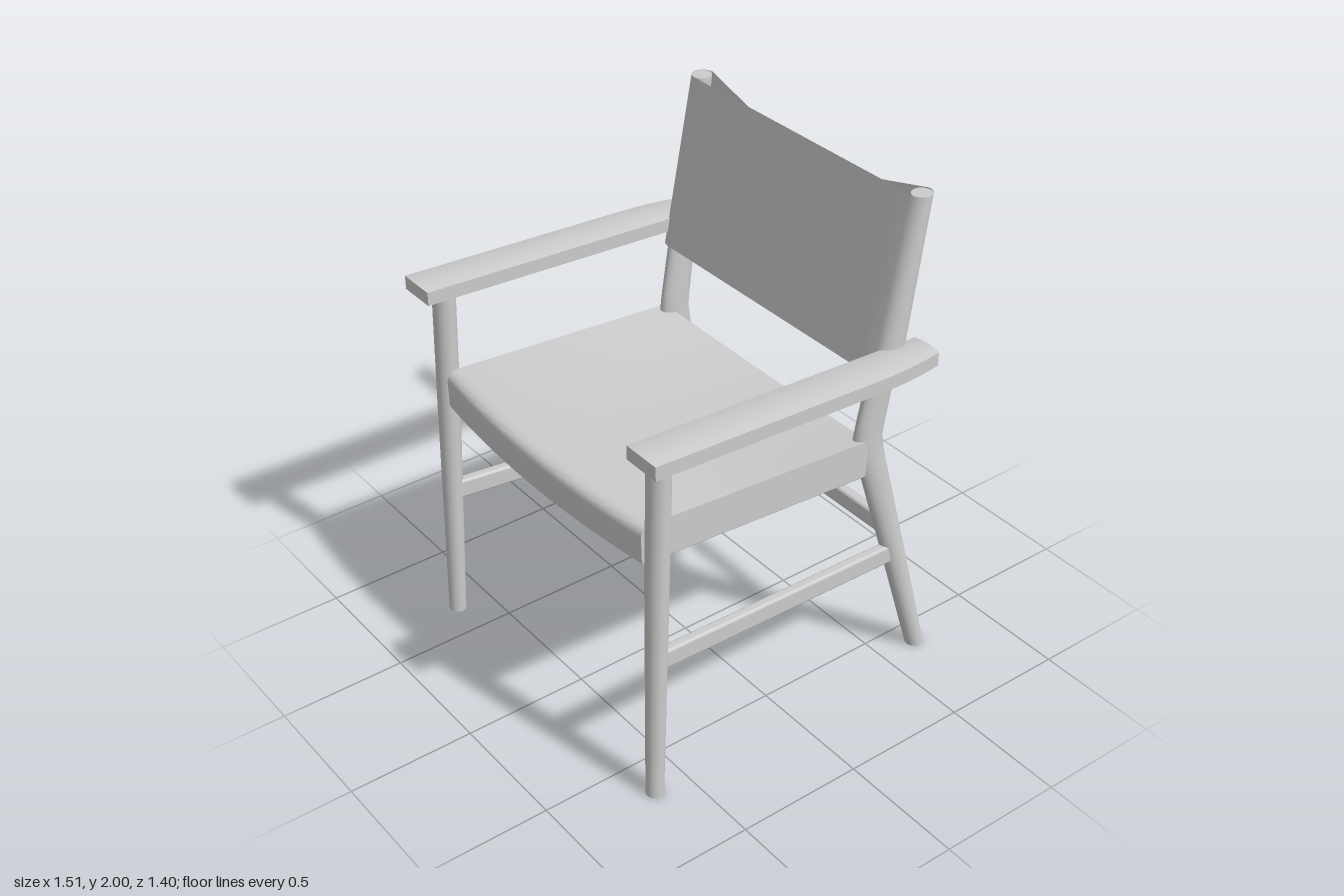
import * as THREE from 'three';
import { toCreasedNormals } from 'three/addons/utils/BufferGeometryUtils.js';
import { RoundedBoxGeometry } from 'three/addons/geometries/RoundedBoxGeometry.js';

const grey = new THREE.MeshStandardMaterial({ color: 0xcccccc });
const greyThin = new THREE.MeshStandardMaterial({ color: 0xcccccc, side: THREE.DoubleSide });

// Move every vertex by a rule, then rebuild normals with sharp edges kept
function deform(geo, rule) {
  const p = geo.attributes.position;
  const v = new THREE.Vector3();
  for (let i = 0; i < p.count; i++) {
    v.fromBufferAttribute(p, i);
    rule(v);
    p.setXYZ(i, v.x, v.y, v.z);
  }
  return toCreasedNormals(geo, 0.6);
}

// Leg through elliptical stations [x, y, z, rx, rz], listed from the top down
function legGeometry(stations) {
  const n = stations.length - 1;
  return deform(new THREE.CylinderGeometry(1, 1, 1, 24, n), v => {
    const [x, y, z, rx, rz] = stations[Math.round((0.5 - v.y) * n)];
    v.set(x + v.x * rx, y, z + v.z * rz);
  });
}

// Softly rounded bar between two points
function bar(a, b, width, height, radius = 0.012) {
  const from = new THREE.Vector3(...a), to = new THREE.Vector3(...b);
  const mesh = new THREE.Mesh(new RoundedBoxGeometry(width, height, from.distanceTo(to), 3, radius), grey);
  mesh.position.copy(from).add(to).multiplyScalar(0.5);
  mesh.lookAt(to);
  return mesh;
}

// Armrest: domed top, bowed front end, outer edge tapering to the back
function armGeometry(side) {
  return deform(new THREE.BoxGeometry(1, 1, 1, 10, 1, 16), v => {
    const t = v.x * 2;
    const z = 0.075 + v.z * 1.24;
    const back = Math.max(0, (-0.25 - z) / 0.295);
    const outer = 0.757 - 0.03 * back * back;
    const x = 0.602 + (v.x + 0.5) * (outer - 0.602);
    const front = Math.max(0, v.z * 2);
    const y = 1.439 + 0.048 * (z - 0.075) + v.y * 0.054 - 0.009 * t * t + 0.004;
    v.set(side * x, y, z + 0.008 * front * (1 - t * t));
    if (side < 0) v.x = -(0.602 + outer) - v.x; // keep winding outward
  });
}

// Seat skin: side profile with rolled front edge, swept across, then bowed and dished
function seatGeometry() {
  const s = new THREE.Shape(); // shape x is z, shape y is y
  s.moveTo(0.64, 0.99);
  s.lineTo(0.642, 1.095);
  s.quadraticCurveTo(0.64, 1.137, 0.585, 1.135);
  const steps = 14;
  for (let i = 1; i <= steps; i++) {
    const z = 0.585 - 0.945 * i / steps;
    s.lineTo(z, 1.135 - 0.069 * (0.585 - z));
  }
  for (let i = steps; i >= 0; i--) {
    const z = 0.605 - 0.965 * i / steps;
    s.lineTo(z, 1.11 - 0.069 * (0.605 - z));
  }
  s.lineTo(0.605, 0.99);
  const geo = new THREE.ExtrudeGeometry(s, { depth: 1.2, steps: 20, bevelEnabled: false, curveSegments: 8 });
  geo.rotateY(-Math.PI / 2).translate(0.6, 0, 0);
  return deform(geo, v => {
    const across = 1 - (v.x / 0.6) ** 2;
    const dish = THREE.MathUtils.smoothstep(0.55 - v.z, 0, 0.8);
    v.y -= 0.04 * across * dish;
    v.z *= 1 + 0.0625 * across;
  });
}

// Back sling: flat front sheet, wrapped round both posts, waisted rear sheet
function slingGeometry() {
  const loop = []; // [x, front-to-back factor]
  const half = 0.59, n = 16;
  for (let i = 0; i <= n; i++) loop.push([half * (2 * i / n - 1), 1]);
  for (let i = 1; i < 12; i++) {
    const a = Math.PI * (0.5 - i / 12);
    loop.push([half + 0.048 * Math.cos(a), Math.sin(a)]);
  }
  for (let i = 0; i <= n; i++) loop.push([half * (1 - 2 * i / n), -1]);
  for (let i = 1; i <= 12; i++) {
    const a = Math.PI * (0.5 - i / 12);
    loop.push([-half - 0.048 * Math.cos(a), -Math.sin(a)]);
  }
  const cols = loop.length - 1;
  return deform(new THREE.PlaneGeometry(1, 1, cols, 6), v => {
    const [x, f] = loop[Math.round((v.x + 0.5) * cols)];
    const waist = f === -1 ? 1 - Math.abs(x) / half : 0;
    const low = 1.335 + 0.14 * waist, high = 2 - 0.15 * waist;
    const y = low + (v.y + 0.5) * (high - low);
    const t = (y - 1.06) / 0.94;
    v.set(x, y, -0.375 - 0.16 * t + f * (0.068 - 0.025 * t));
  });
}

export function createModel() {
  const chair = new THREE.Group();
  chair.name = 'armchair';
  const add = (name, part) => {
    const mesh = part.isMesh ? part : new THREE.Mesh(part, grey);
    mesh.name = name;
    chair.add(mesh);
    return mesh;
  };

  // Mirrored parts
  for (const side of [1, -1]) {
    const label = side > 0 ? 'left' : 'right';
    add(label + 'FrontLeg', legGeometry([
      [side * 0.65, 1.45, 0.602, 0.045, 0.043],
      [side * 0.65, 0.95, 0.615, 0.045, 0.042],
      [side * 0.658, 0, 0.64, 0.035, 0.033],
    ]));
    add(label + 'BackLeg', legGeometry([
      [side * 0.6, 1.998, -0.535, 0.038, 0.039],
      [side * 0.585, 1.5, -0.45, 0.036, 0.054],
      [side * 0.572, 1.14, -0.39, 0.034, 0.064],
      [side * 0.57, 1.06, -0.379, 0.034, 0.065],
      [side * 0.571, 0.98, -0.395, 0.034, 0.062],
      [side * 0.584, 0.5, -0.528, 0.037, 0.049],
      [side * 0.597, 0, -0.665, 0.037, 0.036],
    ]));
    add(label + 'Armrest', armGeometry(side));
    add(label + 'SeatRail', bar([side * 0.582, 1.054, 0.6], [side * 0.582, 0.99, -0.36], 0.036, 0.152, 0.006));
    add(label + 'Stretcher', bar([side * 0.638, 0.582, 0.62], [side * 0.588, 0.505, -0.51], 0.042, 0.08));

    // Triangular brace in the front corner of the seat frame
    const tri = new THREE.Shape([[0.57, 0.61], [0.28, 0.61], [0.57, 0.42]]
      .map(([x, z]) => new THREE.Vector2(side * x, -z)));
    const brace = new THREE.ExtrudeGeometry(tri, { depth: 0.05, bevelEnabled: false });
    add(label + 'CornerBrace', brace.rotateX(-Math.PI / 2).translate(0, 0.975, 0));
  }

  // Seat and rear rail
  add('seat', seatGeometry());
  add('backSeatRail', deform(new THREE.BoxGeometry(1.12, 0.135, 0.035, 16), v => {
    const across = 1 - (v.x / 0.6) ** 2;
    if (v.y > 0) v.y -= 0.038 * across;
    v.y += 0.988;
    v.z -= 0.355 + 0.03 * across;
  }));
  add('backStretcher', bar([-0.575, 0.627, -0.49], [0.575, 0.627, -0.49], 0.045, 0.076));

  // Back
  add('backSling', slingGeometry()).material = greyThin;
  return chair;
}
